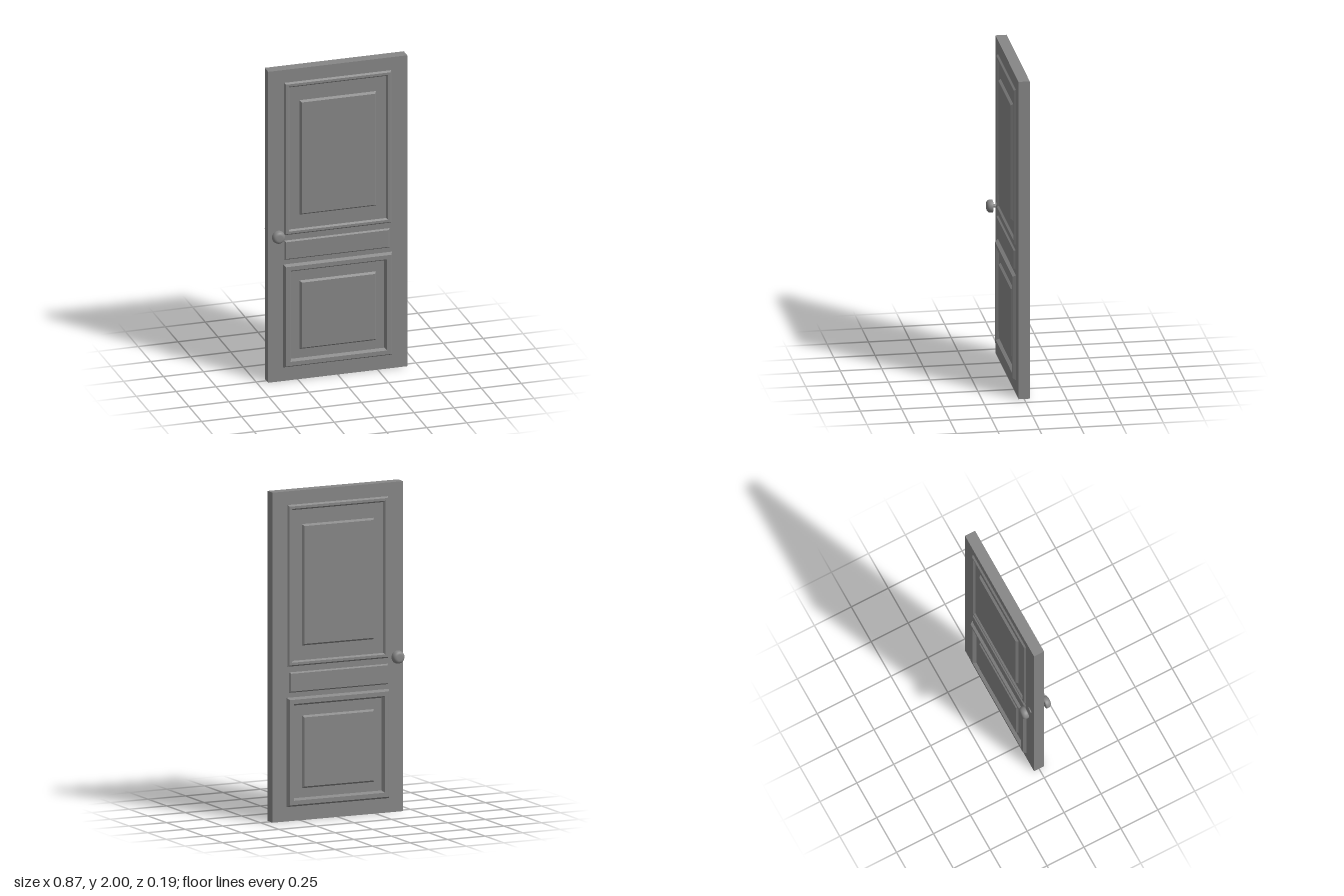
import * as THREE from 'three';

const SURFACE = 0.034; // half thickness of the door slab

// Rectangular relief: loops of [inset from the outer edge, z], optionally capped.
function reliefGeometry(w, h, loops, capped) {
  const pos = [];
  const rings = loops.map(([inset, z]) => {
    const x = w / 2 - inset, y = h / 2 - inset;
    return [[-x, -y, z], [x, -y, z], [x, y, z], [-x, y, z]];
  });
  const quad = (a, b, c, d) => pos.push(...a, ...b, ...c, ...a, ...c, ...d);
  for (let i = 0; i + 1 < rings.length; i++) {
    const outer = rings[i], inner = rings[i + 1];
    for (let k = 0; k < 4; k++) {
      const n = (k + 1) % 4;
      quad(outer[k], outer[n], inner[n], inner[k]);
    }
  }
  if (capped) quad(...rings[rings.length - 1]);
  const geo = new THREE.BufferGeometry();
  geo.setAttribute('position', new THREE.Float32BufferAttribute(pos, 3));
  geo.computeVertexNormals();
  return geo;
}

// Moulding with a slope outside, a flat crest and a slope inside
const moulding = (w, h, z, slope, width) => reliefGeometry(w, h,
  [[0, SURFACE], [slope, z], [width - slope, z], [width, SURFACE]], false);

// Raised field with bevelled edges
const field = (w, h, z, bevel) => reliefGeometry(w, h, [[0, SURFACE], [bevel, z]], true);

export function createModel() {
  const door = new THREE.Group();
  door.name = 'door';
  const material = new THREE.MeshStandardMaterial({ color: 0x868686 });

  const add = (parent, name, geo, x, y, z = 0) => {
    const mesh = new THREE.Mesh(geo, material);
    mesh.name = name;
    mesh.position.set(x, y, z);
    parent.add(mesh);
    return mesh;
  };

  add(door, 'slab', new THREE.BoxGeometry(0.87, 2, SURFACE * 2), 0, 1);

  // Panels: [name, geometry, centre x, centre y]
  const panels = [
    ['upperMoulding', moulding(0.67, 0.98, 0.045, 0.009, 0.033), 0, 1.427],
    ['upperField', field(0.48, 0.736, 0.048, 0.011), 0, 1.426],
    ['middlePanel', field(0.658, 0.124, 0.044, 0.008), -0.005, 0.84],
    ['lowerMoulding', moulding(0.682, 0.662, 0.053, 0.012, 0.05), 0, 0.418],
    ['lowerField', field(0.48, 0.441, 0.047, 0.011), 0, 0.414],
  ];

  // Knob profile: flat underside, rounded rim, shallow dome
  const profile = new THREE.Path();
  profile.moveTo(0, 0.058);
  profile.lineTo(0.032, 0.058);
  profile.bezierCurveTo(0.037, 0.058, 0.04, 0.061, 0.04, 0.068);
  profile.bezierCurveTo(0.04, 0.084, 0.034, 0.094, 0.021, 0.0965);
  profile.quadraticCurveTo(0.01, 0.0975, 0, 0.0975);
  const knob = new THREE.LatheGeometry(profile.getPoints(8), 32).rotateX(Math.PI / 2);
  const rosette = new THREE.CylinderGeometry(0.019, 0.021, 0.008, 32).rotateX(Math.PI / 2);
  const stem = new THREE.CylinderGeometry(0.0105, 0.0105, 0.024, 24).rotateX(Math.PI / 2);

  // Both faces carry the same panels and knob; the back one is turned around
  for (const side of [1, -1]) {
    const face = new THREE.Group();
    face.name = side > 0 ? 'frontFace' : 'backFace';
    if (side < 0) face.rotation.y = Math.PI;
    for (const [name, geo, x, y] of panels) add(face, name, geo, x * side, y);
    const kx = -0.382 * side, ky = 0.944;
    add(face, 'knob', knob, kx, ky);
    add(face, 'rosette', rosette, kx, ky, SURFACE + 0.002);
    // Only the front knob has a visible stem
    if (side > 0) add(face, 'stem', stem, kx, ky, 0.048);
    door.add(face);
  }
  return door;
}
